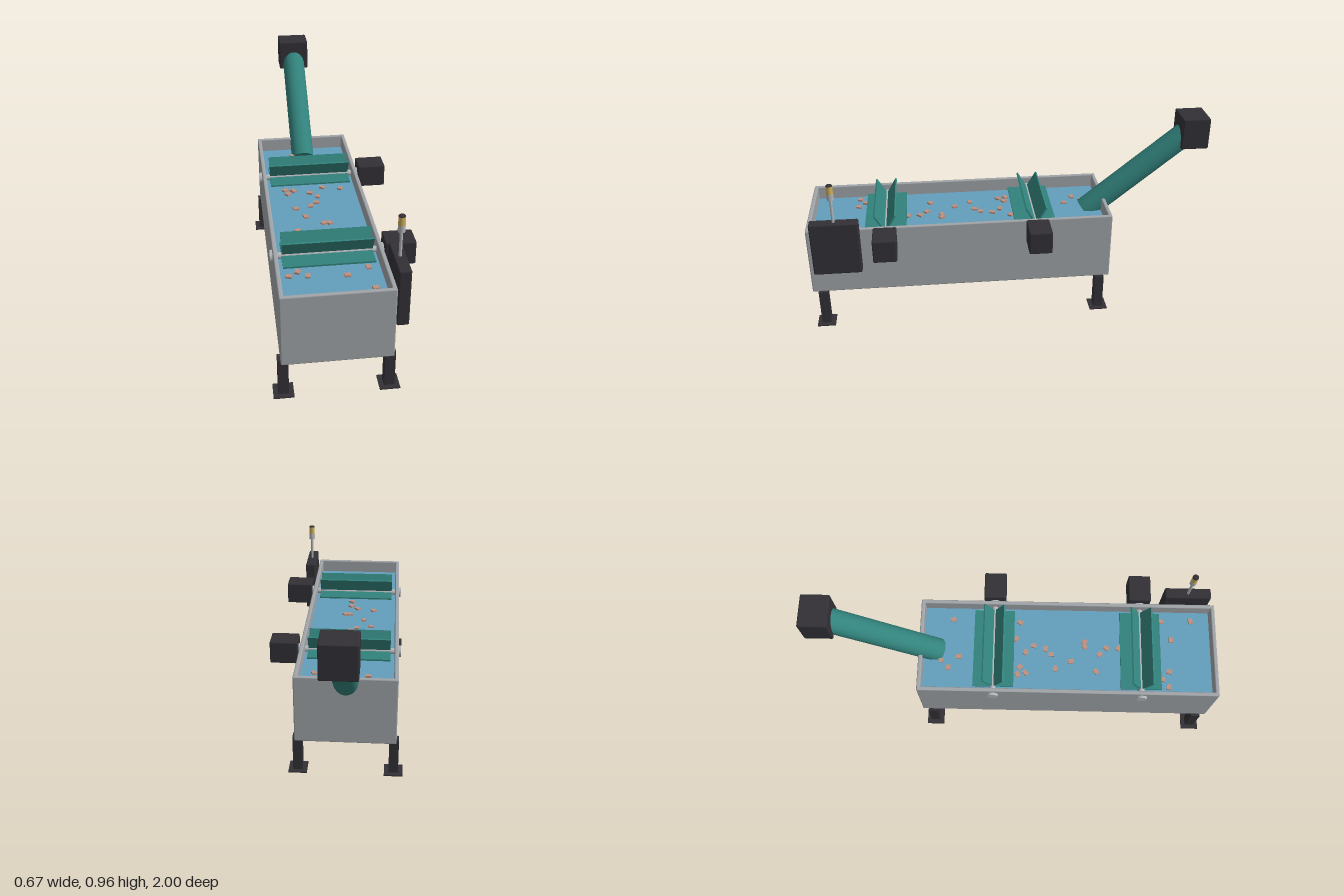
import * as THREE from 'three';
import { RoundedBoxGeometry } from 'three/addons/geometries/RoundedBoxGeometry.js';

function material(name, color) {
  const m = new THREE.MeshStandardMaterial({ color });
  m.name = name;
  return m;
}

export function createModel() {
  const steel = material('tankSteel', 0xa0a4a8);
  const bright = material('brightSteel', 0xb2b5b8);
  const dark = material('darkHousing', 0x323036);
  const teal = material('tealPaint', 0x32827c);
  const blue = material('waterBlue', 0x639fbc);
  const chunk = material('produce', 0xbd9080);
  const amber = material('amberLamp', 0xcdaf5a);

  const model = new THREE.Group();
  model.name = 'washTank';

  function add(name, geometry, mat, x, y, z, parent = model) {
    const mesh = new THREE.Mesh(geometry, mat);
    mesh.name = name;
    mesh.position.set(x, y, z);
    parent.add(mesh);
    return mesh;
  }
  const box = (w, h, d) => new THREE.BoxGeometry(w, h, d);
  const soft = (w, h, d, r = 0.006) => new RoundedBoxGeometry(w, h, d, 2, r);
  const rod = (r, h, n = 24) => new THREE.CylinderGeometry(r, r, h, n);

  // Open tank: four walls and a floor
  const cx = -0.059, cz = 0.25, wallY = 0.36, wallH = 0.346;
  for (const s of [-1, 1]) {
    add('sideWall', soft(0.02, wallH, 1.496), steel, cx + s * 0.232, wallY, cz);
    add('endWall', soft(0.476, wallH, 0.02), steel, cx, wallY, cz + s * 0.738);
  }
  add('tankFloor', box(0.472, 0.02, 1.484), steel, cx, 0.199, cz);
  add('water', box(0.448, 0.01, 1.46), blue, cx, 0.46, cz);

  // Legs with foot plates
  for (const x of [-0.29, 0.172]) {
    for (const z of [-0.446, 0.946]) {
      add('leg', box(0.046, 0.184, 0.046), dark, x, 0.096, z);
      add('footPlate', box(0.09, 0.006, 0.09), dark, x, 0.003, z);
    }
  }

  // Paddle wheels: shaft, six blades, bearings and motor
  for (const z of [-0.122, 0.619]) {
    const wheel = new THREE.Group();
    wheel.name = 'paddleWheel';
    wheel.position.set(0, 0.487, z);
    model.add(wheel);
    add('shaft', rod(0.015, 0.49), bright, cx, 0, 0, wheel).rotation.z = Math.PI / 2;
    for (let i = 0; i < 6; i++) {
      const a = i * Math.PI / 3;
      const blade = add('blade', box(0.406, 0.008, 0.09), teal,
        -0.058, -Math.sin(a) * 0.057, Math.cos(a) * 0.057, wheel);
      blade.rotation.x = a;
    }
    for (const x of [-0.304, 0.187]) {
      add('bearing', rod(0.027, 0.018), bright, x, 0, 0, wheel).rotation.z = Math.PI / 2;
    }
    add('motor', soft(0.138, 0.114, 0.112), dark, 0.264, 0, 0, wheel);
  }

  // Floating produce
  const spots = [
    [-.16, -.35], [-.10, -.30], [-.12, -.39], [.10, -.335], [-.19, 0], [-.15, .01], [-.18, .04],
    [0, -.01], [.09, .01], [-.07, .04], [-.035, .08], [-.05, .14], [-.08, .17], [-.155, .19],
    [-.115, .27], [-.035, .34], [-.01, .34], [-.165, .395], [-.075, .415], [-.04, .45],
    [-.04, .51], [-.20, .73], [-.24, .76], [-.16, .765], [.01, .78], [.11, .73], [.115, .885],
  ];
  const chunkGeometry = box(0.028, 0.012, 0.022);
  spots.forEach(([x, z], i) => {
    add('producePiece', chunkGeometry, chunk, x, 0.468, z).rotation.y = i * 1.7;
  });

  // Sloping discharge tube and its head
  const low = new THREE.Vector3(-0.06, 0.447, -0.405);
  const high = new THREE.Vector3(-0.06, 0.876, -0.93);
  const mid = low.clone().add(high).multiplyScalar(0.5);
  const tube = add('dischargeTube', rod(0.06, low.distanceTo(high), 40), teal, mid.x, mid.y, mid.z);
  tube.quaternion.setFromUnitVectors(new THREE.Vector3(0, 1, 0), high.clone().sub(low).normalize());
  add('dischargeHead', soft(0.16, 0.158, 0.137), dark, -0.06, 0.879, -0.9315);

  // Control cabinet with signal lamp
  add('controlCabinet', soft(0.055, 0.274, 0.232, 0.008), dark, 0.2175, 0.462, 0.854);
  add('lampPole', rod(0.007, 0.13, 16), bright, 0.2175, 0.658, 0.854);
  add('lampBase', rod(0.016, 0.032), bright, 0.2175, 0.734, 0.854);
  add('lamp', rod(0.0155, 0.04), amber, 0.2175, 0.77, 0.854);
  add('lampCap', new THREE.SphereGeometry(0.0155, 24, 12), dark, 0.2175, 0.791, 0.854).scale.y = 0.45;

  return model;
}
